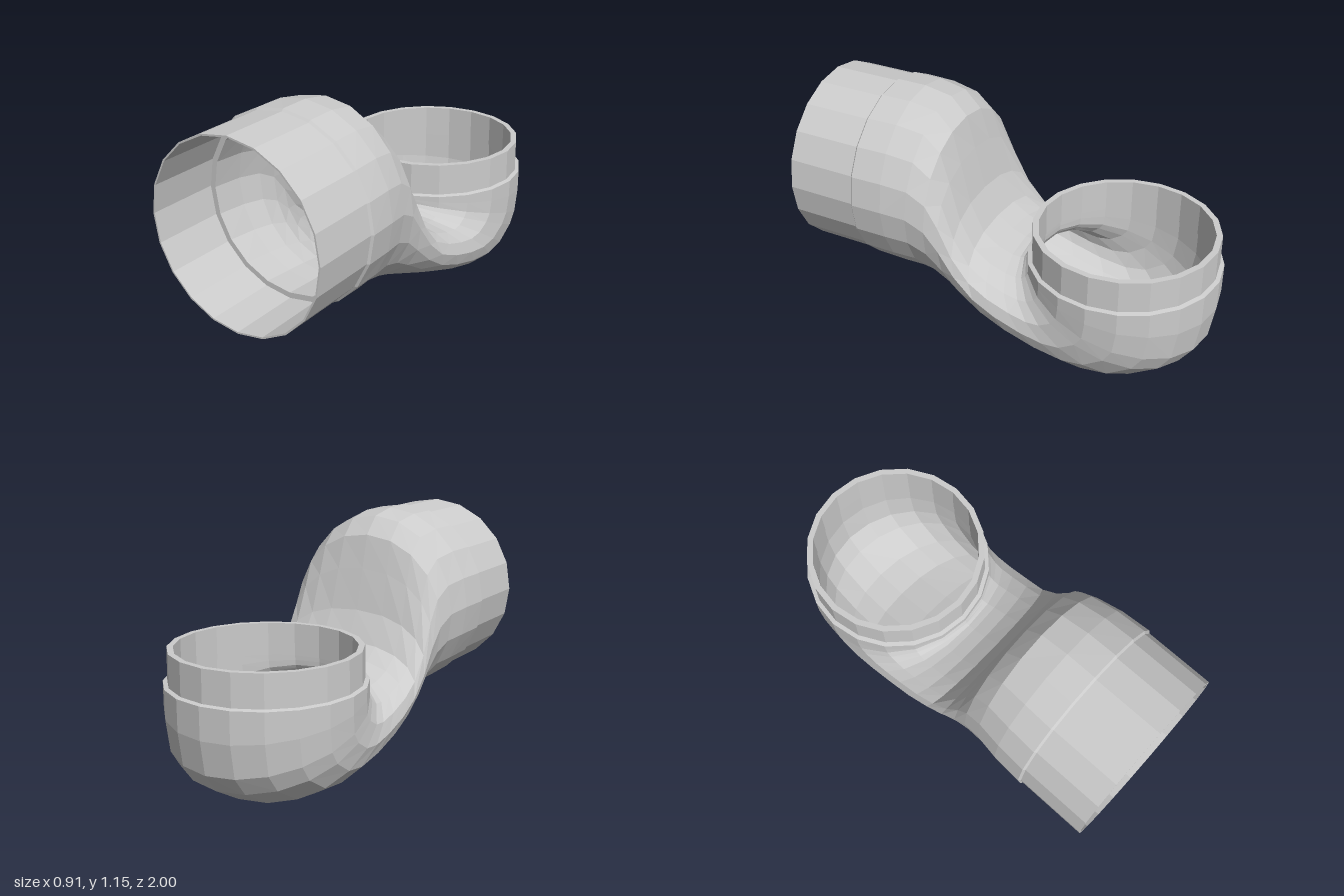
import * as THREE from 'three';

const SIDES = 20;

// A ring is [topZ, topY, bottomZ, bottomY, halfWidth, squareness]
const upright = (z, r) => [z, 0.695 + r, z, 0.695 - r, r, 1];   // faces front
const level = (y, r) => [-0.545 + r, y, -0.545 - r, y, r, 1];   // faces up

// Sections of the elbow, fanning from the front socket to the upward mouth
const sections = [
  upright(0.65, 0.455),
  [0.5, 1.15, 0.5, 0.23, 0.445, 1],
  [0.36, 1.125, 0.4, 0.225, 0.425, 1],
  [0.28, 1.04, 0.3, 0.215, 0.415, 0.97],
  [0.24, 0.88, 0.2, 0.2, 0.41, 0.92],
  [0.19, 0.68, 0.08, 0.17, 0.415, 0.88],
  [0.12, 0.54, -0.05, 0.13, 0.42, 0.86],
  [0.04, 0.485, -0.2, 0.085, 0.43, 0.86],
  [-0.03, 0.46, -0.4, 0.03, 0.435, 0.88],
  [-0.065, 0.455, -0.6, 0, 0.44, 0.92],
  [-0.08, 0.46, -0.76, 0.02, 0.445, 0.95],
  [-0.085, 0.47, -0.91, 0.11, 0.45, 0.98],
  [-0.09, 0.48, -0.975, 0.2, 0.452, 1],
  [-0.09, 0.495, -1, 0.36, 0.455, 1],
  level(0.51, 0.455),
];

// Shrinks a ring by the wall thickness
function inset([tz, ty, bz, by, w, p], d) {
  const len = Math.hypot(tz - bz, ty - by);
  const dz = (tz - bz) / len * d, dy = (ty - by) / len * d;
  return [tz - dz, ty - dy, bz + dz, by + dy, w - d, p];
}

// Skins a row of rings
function loft(name, rings) {
  const pos = [], index = [];
  const power = (v, p) => Math.sign(v) * Math.abs(v) ** p;
  for (const [tz, ty, bz, by, w, p] of rings) {
    for (let j = 0; j < SIDES; j++) {
      const a = (j / SIDES) * Math.PI * 2;
      const c = power(Math.cos(a), p), s = power(Math.sin(a), p);
      pos.push(w * s, (ty + by) / 2 + (ty - by) / 2 * c, (tz + bz) / 2 + (tz - bz) / 2 * c);
    }
  }
  for (let i = 0; i < rings.length - 1; i++) {
    for (let j = 0; j < SIDES; j++) {
      const k = (j + 1) % SIDES;
      const a = i * SIDES + j, b = i * SIDES + k;
      index.push(a, b, a + SIDES, b, b + SIDES, a + SIDES);
    }
  }
  const geo = new THREE.BufferGeometry();
  geo.setAttribute('position', new THREE.Float32BufferAttribute(pos, 3));
  geo.setIndex(index);
  geo.computeVertexNormals();
  const mesh = new THREE.Mesh(geo, new THREE.MeshStandardMaterial({
    color: 0xcccccc, flatShading: true, side: THREE.DoubleSide,
  }));
  mesh.name = name;
  return mesh;
}

export function createModel() {
  const pipe = new THREE.Group();
  pipe.name = 'pipeElbow';
  pipe.add(
    // Thin front socket, with its step up to the elbow
    loft('socket', [upright(1, 0.437), upright(1, 0.445), upright(0.66, 0.445), upright(0.65, 0.455)]),
    loft('elbowOuter', sections),
    // Narrower collar with a thick rim
    loft('collar', [level(0.51, 0.455), level(0.515, 0.435), level(0.665, 0.433),
      level(0.665, 0.405), level(0.51, 0.405)]),
    // Inner wall, running back to the ledge inside the socket
    loft('elbowInner', [level(0.51, 0.405), ...sections.map((s) => inset(s, 0.045)).reverse()]),
    loft('socketInner', [upright(0.65, 0.41), upright(0.65, 0.437), upright(1, 0.437)]),
  );
  return pipe;
}
